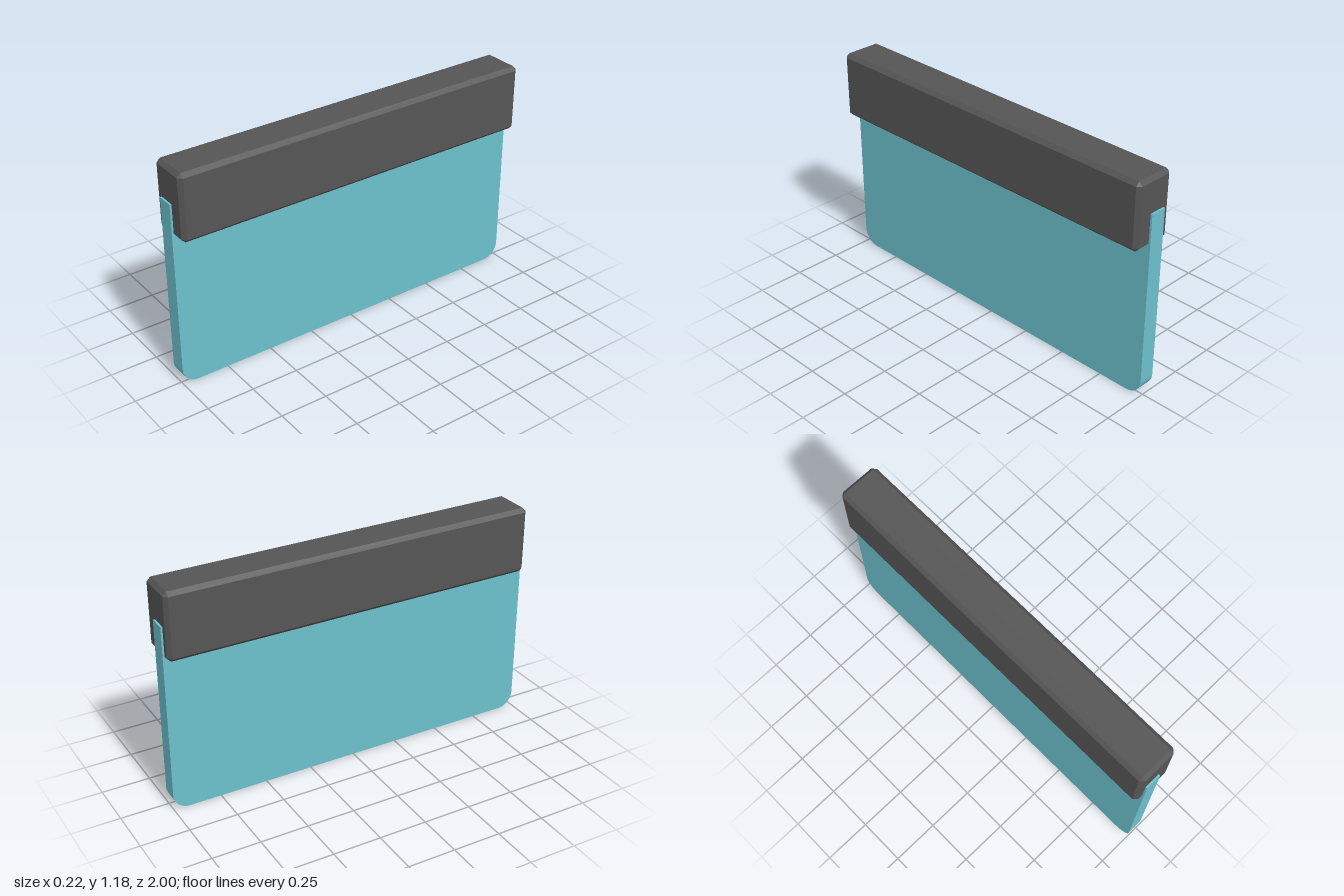
import * as THREE from 'three';
import { ConvexGeometry } from 'three/addons/geometries/ConvexGeometry.js';

const HX = 0.11, HZ = 0.99, Y0 = 0.825, Y1 = 1.178, C = 0.02;
const GROOVE = { x: 0.0775, w: 0.017, len: 1.86, depth: 0.04 };

// Removes the triangles that face straight down
function openBottom(geometry) {
  const g = geometry.index ? geometry.toNonIndexed() : geometry;
  const p = g.attributes.position, n = g.attributes.normal;
  const pos = [], nor = [];
  for (let i = 0; i < p.count; i += 3) {
    if (n.getY(i) < -0.99) continue;
    for (let k = i; k < i + 3; k++) {
      pos.push(p.getX(k), p.getY(k), p.getZ(k));
      nor.push(n.getX(k), n.getY(k), n.getZ(k));
    }
  }
  const out = new THREE.BufferGeometry();
  out.setAttribute('position', new THREE.Float32BufferAttribute(pos, 3));
  out.setAttribute('normal', new THREE.Float32BufferAttribute(nor, 3));
  return out;
}

function rectangle(path, cx, hx, hz) {
  return path.moveTo(cx - hx, -hz).lineTo(cx + hx, -hz)
    .lineTo(cx + hx, hz).lineTo(cx - hx, hz).closePath();
}

function add(parent, name, geometry, material) {
  const mesh = new THREE.Mesh(geometry, material);
  mesh.name = name;
  parent.add(mesh);
  return mesh;
}

export function createModel() {
  const model = new THREE.Group();
  const dark = new THREE.MeshStandardMaterial({ color: 0x555555 });
  const grooveDark = new THREE.MeshStandardMaterial({ color: 0x555555, side: THREE.BackSide });
  const teal = new THREE.MeshStandardMaterial({ color: 0x6cc0cc });

  // Handle bar: a box with every edge chamfered
  const handle = new THREE.Group();
  handle.name = 'handle';
  model.add(handle);
  const points = [];
  for (const sx of [-1, 1]) for (const sy of [-1, 1]) for (const sz of [-1, 1]) {
    const x = sx * HX, y = sy > 0 ? Y1 : Y0, z = sz * HZ;
    points.push(
      new THREE.Vector3(x, y - sy * C, z - sz * C),
      new THREE.Vector3(x - sx * C, y, z - sz * C),
      new THREE.Vector3(x - sx * C, y - sy * C, z));
  }
  add(handle, 'handleShell', openBottom(new ConvexGeometry(points)), dark);

  // Underside with a narrow groove on each side of the blade
  const under = rectangle(new THREE.Shape(), 0, HX - C, HZ - C);
  for (const s of [-1, 1]) {
    under.holes.push(rectangle(new THREE.Path(), s * GROOVE.x, GROOVE.w / 2, GROOVE.len / 2));
    const box = openBottom(new THREE.BoxGeometry(GROOVE.w, GROOVE.depth, GROOVE.len));
    add(handle, s < 0 ? 'rightGroove' : 'leftGroove', box, grooveDark)
      .position.set(s * GROOVE.x, Y0 + GROOVE.depth / 2, 0);
  }
  add(handle, 'handleUnderside', new THREE.ShapeGeometry(under).rotateX(Math.PI / 2), dark)
    .position.y = Y0;

  // Blade: a flat sheet with rounded lower corners, set off centre in the handle
  const r = 0.085, top = 0.997;
  const sheet = new THREE.Shape().moveTo(-1, top).lineTo(-1, r)
    .absarc(-1 + r, r, r, Math.PI, Math.PI * 1.5)
    .lineTo(1 - r, 0)
    .absarc(1 - r, r, r, -Math.PI / 2, 0)
    .lineTo(1, top).closePath();
  const bladeGeometry = new THREE.ExtrudeGeometry(sheet, { depth: 0.087, bevelEnabled: false, curveSegments: 16 });
  bladeGeometry.rotateY(Math.PI / 2).translate(-0.065, 0, 0);
  add(model, 'blade', bladeGeometry, teal);

  return model;
}
